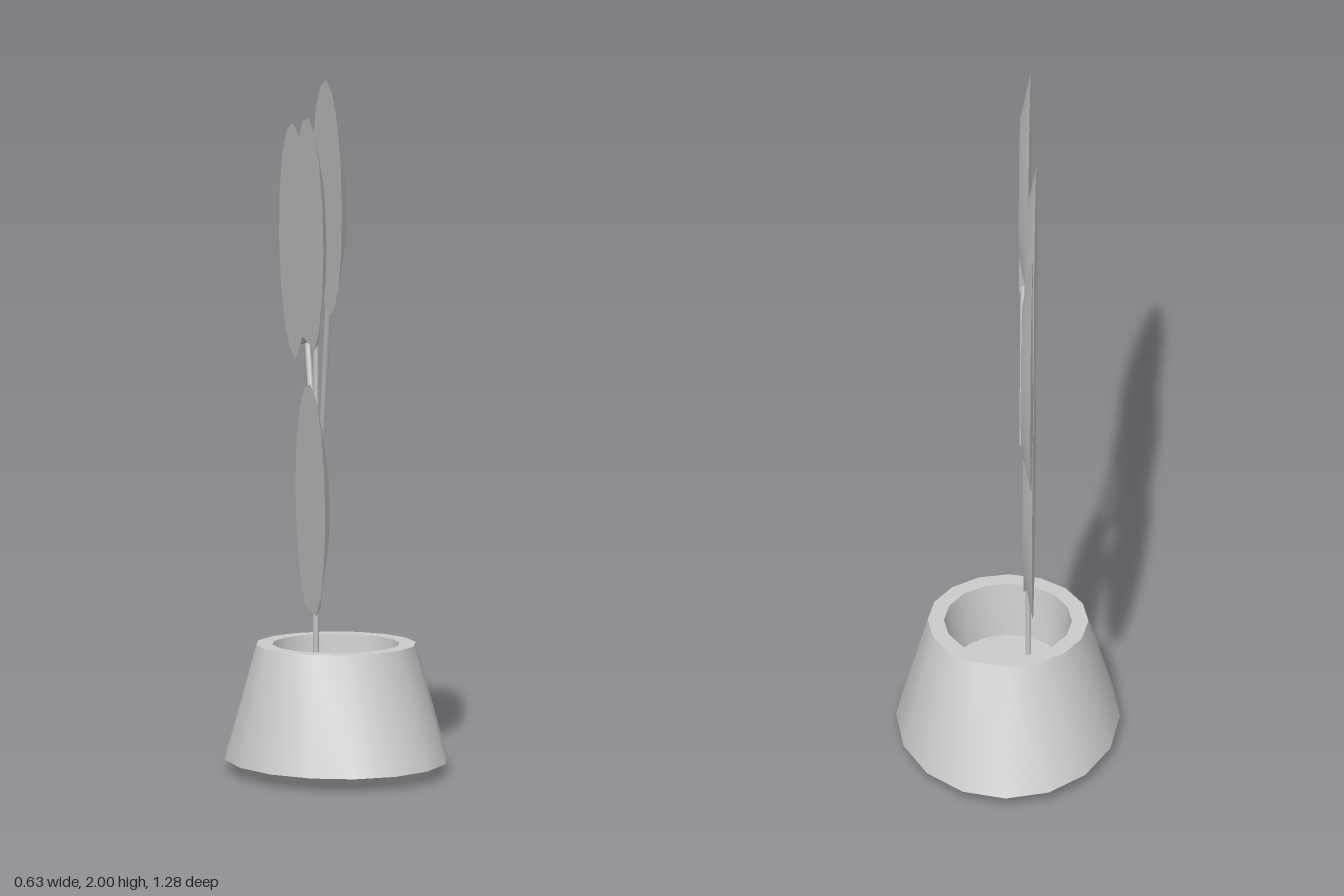
import * as THREE from 'three';
import { toCreasedNormals } from 'three/addons/utils/BufferGeometryUtils.js';

const SIDES = 16;
const material = new THREE.MeshStandardMaterial({ color: 0xcccccc, side: THREE.DoubleSide });

function mesh(name, geometry) {
  const m = new THREE.Mesh(geometry, material);
  m.name = name;
  return m;
}

// Pot: round at the rim, oval at the foot. Rows are [x radius, z radius, y].
function potGeometry() {
  const rows = [
    [0.205, 0.205, 0.34], [0.258, 0.335, 0], [0.315, 0.41, 0.035], [0.226, 0.226, 0.36],
    [0.18, 0.18, 0.36], [0.157, 0.157, 0.2], [0, 0, 0.2],
  ];
  const g = new THREE.LatheGeometry(rows.map(([r, , y]) => new THREE.Vector2(r, y)), SIDES);
  const p = g.attributes.position;
  for (let i = 0; i < p.count; i++) {
    const [rx, rz] = rows[i % rows.length];
    if (rx > 0) p.setZ(i, p.getZ(i) * rz / rx);
  }
  return toCreasedNormals(g, 0.5);
}

// Leaf: flat disc with a low raised face on +x, cut straight where the stem enters.
function leafGeometry(radius = 0.333, raised = 0.2, depth = 0.029) {
  const cut = radius * Math.cos((2 * Math.PI) / SIDES);
  const points = [0, 0, 0, depth, 0, 0];
  const index = [];
  for (let i = 0; i < SIDES; i++) {
    const a = (i / SIDES) * Math.PI * 2;
    const atStem = i === SIDES / 2;
    const outer = atStem ? cut : radius;
    const inner = atStem ? cut : raised;
    points.push(0, outer * Math.cos(a), outer * Math.sin(a));
    points.push(depth, inner * Math.cos(a), inner * Math.sin(a));
    const o = 2 + 2 * i, n = 2 + 2 * ((i + 1) % SIDES);
    index.push(0, n, o, 1, o + 1, n + 1, o, n, n + 1, o, n + 1, o + 1);
  }
  const g = new THREE.BufferGeometry();
  g.setAttribute('position', new THREE.Float32BufferAttribute(points, 3));
  g.setIndex(index);
  return toCreasedNormals(g, 0.5);
}

// Thin straight stem between two points
function stem(name, from, to) {
  const a = new THREE.Vector3(...from), b = new THREE.Vector3(...to);
  const m = mesh(name, new THREE.CylinderGeometry(0.013, 0.013, a.distanceTo(b), 6));
  m.scale.x = 0.7;
  m.position.addVectors(a, b).multiplyScalar(0.5);
  m.rotation.x = Math.atan2(b.z - a.z, b.y - a.y);
  return m;
}

export function createModel() {
  const group = new THREE.Group();

  const pot = mesh('pot', potGeometry());
  pot.position.z = 0.05;
  group.add(pot);

  // Main stem and two side branches
  group.add(
    stem('mainStem', [-0.057, 0, 0.052], [-0.057, 1.3, 0.052]),
    stem('frontBranch', [-0.04, 0.96, 0.055], [-0.04, 1.45, 0.23]),
    stem('backBranch', [-0.053, 0.99, -0.06], [-0.053, 1.25, -0.2]),
  );

  // Leaves: name, centre, tilt in degrees
  const leaf = leafGeometry();
  const leaves = [
    ['lowerLeaf', [-0.073, 0.765, 0.052], 0],
    ['middleLeaf', [-0.078, 1.522, 0.052], 0],
    ['frontLeaf', [-0.058, 1.667, 0.309], 19.5],
    ['backLeaf', [-0.074, 1.453, -0.307], -28],
  ];
  for (const [name, centre, tilt] of leaves) {
    const m = mesh(name, leaf);
    m.position.set(...centre);
    m.rotation.x = THREE.MathUtils.degToRad(tilt);
    group.add(m);
  }
  return group;
}
